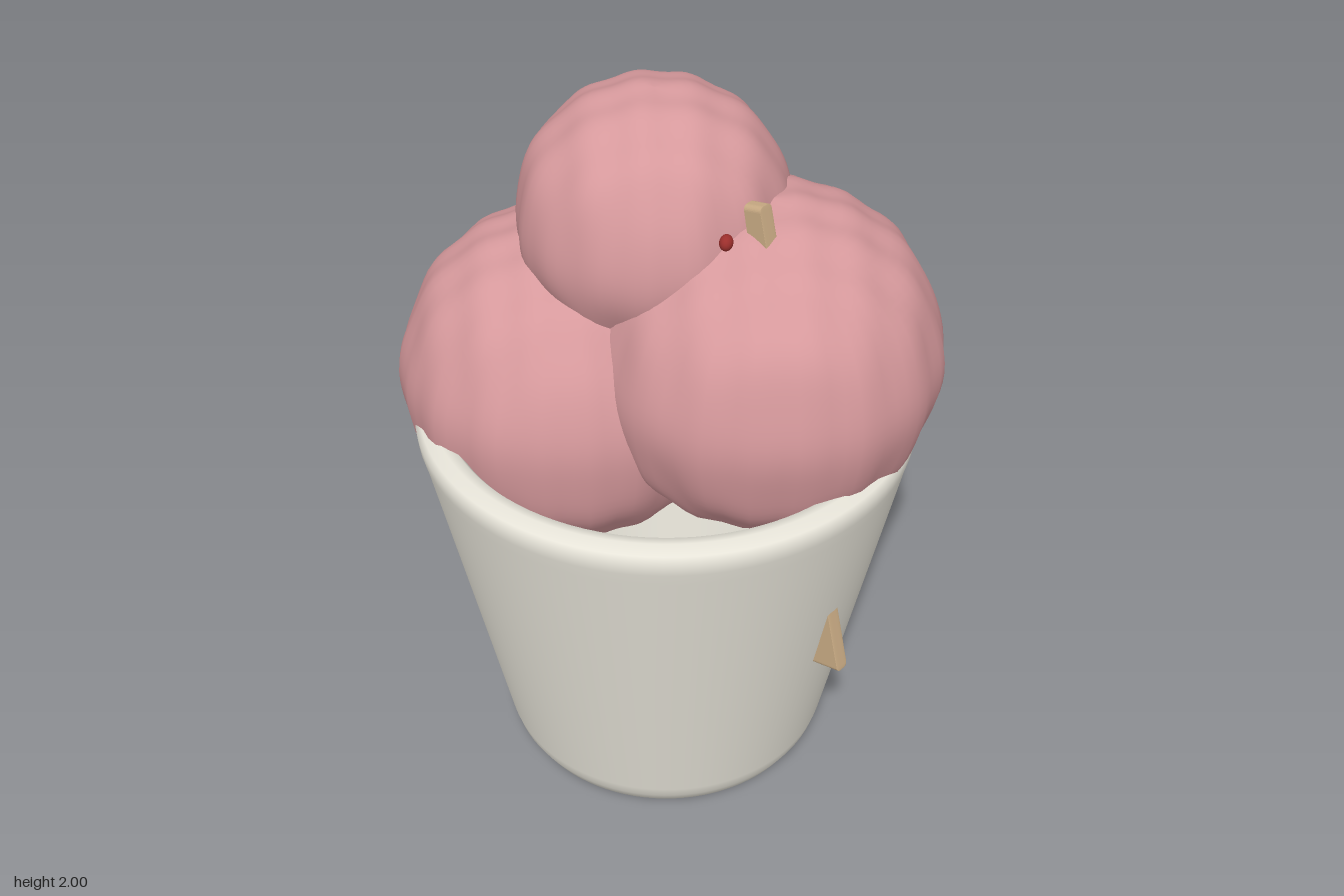
import * as THREE from 'three';
import { RoundedBoxGeometry } from 'three/addons/geometries/RoundedBoxGeometry.js';

const material = (color, extra = {}) => new THREE.MeshStandardMaterial({ color, ...extra });

function addMesh(group, name, geometry, mat) {
  const mesh = new THREE.Mesh(geometry, mat);
  mesh.name = name;
  group.add(mesh);
  return mesh;
}

// Sphere with gentle lumps that cross diagonally
function scoopGeometry(radius, phase) {
  const geo = new THREE.SphereGeometry(radius, 72, 48);
  const pos = geo.attributes.position;
  const normal = geo.attributes.normal;
  const p = new THREE.Vector3();
  for (let i = 0; i < pos.count; i++) {
    p.fromBufferAttribute(pos, i);
    const lump = Math.sin(34 * (p.x + p.z) + phase) + Math.sin(34 * (p.x - p.z) - phase)
      + 0.6 * Math.sin(24 * p.y + phase);
    p.multiplyScalar(1 + 0.0035 * lump / radius);
    pos.setXYZ(i, p.x, p.y, p.z);
  }
  geo.computeVertexNormals();
  // Close the shading seam where the sphere wraps round
  const n = new THREE.Vector3(), m = new THREE.Vector3();
  for (let row = 0; row <= 48; row++) {
    const a = row * 73, b = a + 72;
    n.fromBufferAttribute(normal, a).add(m.fromBufferAttribute(normal, b)).normalize();
    normal.setXYZ(a, n.x, n.y, n.z);
    normal.setXYZ(b, n.x, n.y, n.z);
  }
  return geo;
}

export function createModel() {
  const model = new THREE.Group();
  model.name = 'iceCreamCup';

  // Cup: outer wall, rounded rim, then inner wall and floor
  const profile = [
    [0, 0], [0.425, 0], [0.44, 0.006], [0.462, 0.045], [0.472, 0.08],
    [0.66, 1.03], [0.67, 1.07], [0.673, 1.105], [0.66, 1.122], [0.63, 1.138],
    [0.6, 1.132], [0.587, 1.115], [0.58, 1.08], [0.42, 0.1], [0.4, 0.07], [0, 0.07],
  ].map(([r, y]) => new THREE.Vector2(r, y));
  addMesh(model, 'cup', new THREE.LatheGeometry(profile, 96),
    material(0xe6e3d8, { side: THREE.DoubleSide }));

  // Three scoops
  const pink = material(0xd6999c);
  const scoops = [
    ['frontScoop', 0.458, -0.245, 1.155, 0.11, 0.4],
    ['backScoop', 0.457, 0.235, 1.31, -0.12, 1.7],
    ['topScoop', 0.352, -0.068, 1.647, -0.03, 2.9],
  ];
  for (const [name, radius, x, y, z, phase] of scoops) {
    addMesh(model, name, scoopGeometry(radius, phase), pink).position.set(x, y, z);
  }

  // Flat spoon, widening towards its lower end, running out through the cup wall
  const length = 1.355;
  const spoonGeo = new RoundedBoxGeometry(1, length, 0.042, 4, 0.014);
  const pos = spoonGeo.attributes.position;
  for (let i = 0; i < pos.count; i++) {
    const t = 0.5 - pos.getY(i) / length;
    pos.setX(i, pos.getX(i) * (0.052 + 0.058 * t));
  }
  spoonGeo.computeVertexNormals();
  const spoon = addMesh(model, 'spoon', spoonGeo, material(0xc9ab84));
  spoon.position.set(0.437, 1.163, 0);
  spoon.rotation.z = 0.222;

  // Small red berry beside the spoon
  const berry = addMesh(model, 'berry', new THREE.SphereGeometry(0.02, 20, 14), material(0x9c2f2c));
  berry.position.set(0.279, 1.758, 0.1);
  berry.scale.set(0.85, 1, 1.1);
  berry.rotation.y = 0.5;

  return model;
}
